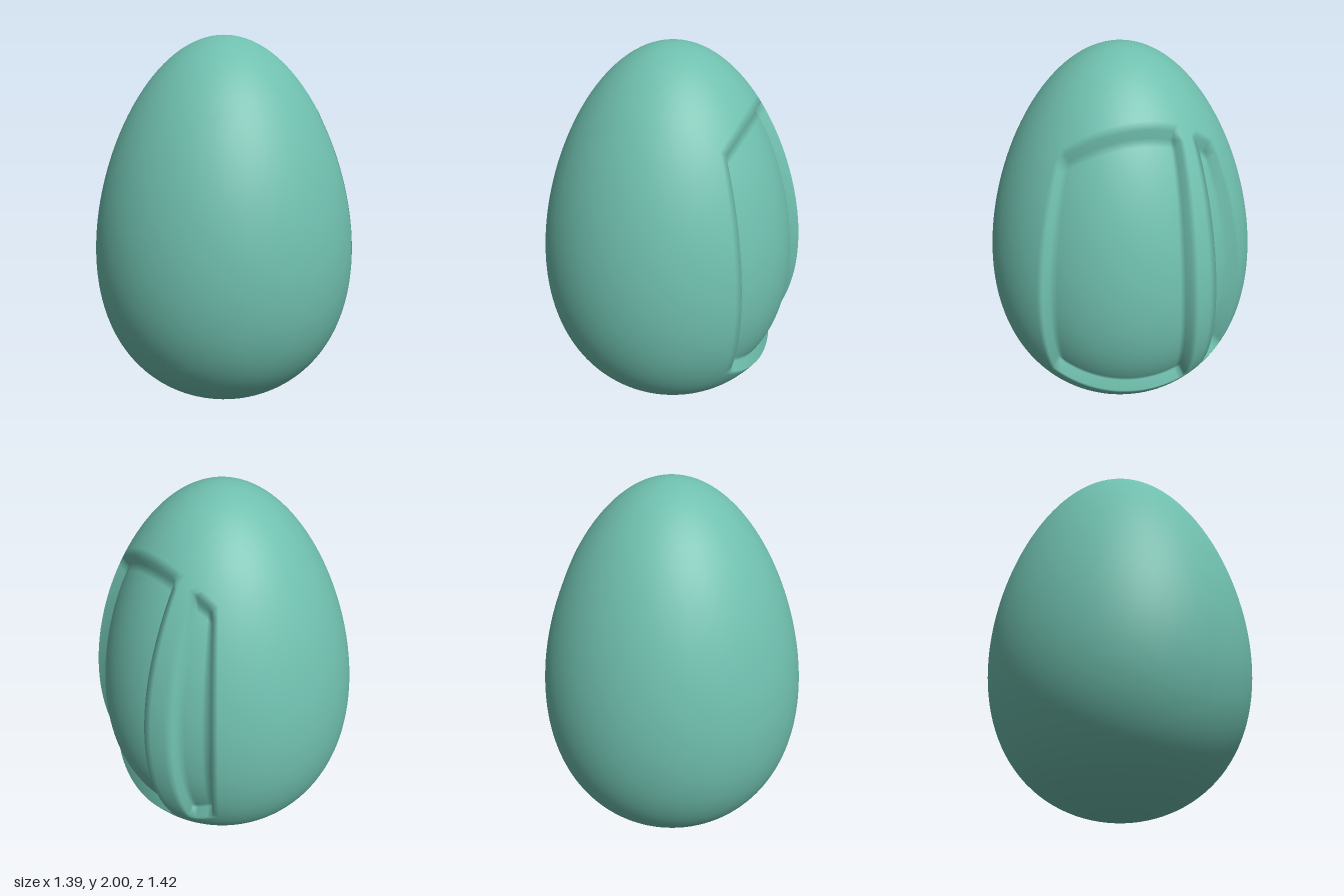
import * as THREE from 'three';
import { mergeVertices } from 'three/addons/utils/BufferGeometryUtils.js';

const N = 32;                                  // cells along each patch side
const SHIFT = 0.015;                           // centres the finished body on x
const CENTRE = new THREE.Vector3(0, 0.85, 0);  // recess sinks towards this point
const DEPTH = 0.055;

// Turn a direction on the unit sphere into a point on the egg
function eggPoint(dir, sunk) {
  const s = dir.y;
  const r = 0.697 * (1 - 0.18 * s) * (1 + 0.04 * s * s);
  const p = new THREE.Vector3(dir.x * r, 1 + s, dir.z * r);
  if (sunk) p.addScaledVector(p.clone().sub(CENTRE).normalize(), -DEPTH);
  p.x += SHIFT;
  return p;
}

// Grid lines of a patch; a line given twice (raised and sunk) makes a wall
function gridLines(walls = []) {
  const lines = [];
  let sunk = false;
  for (let i = 0; i <= N; i++) {
    const t = -1 + (2 * i) / N;
    lines.push({ t, sunk });
    if (walls.includes(i)) {
      sunk = !sunk;
      lines.push({ t, sunk });
    }
  }
  return lines;
}

// One of six patches; axis is the outward direction (0 x, 1 y, 2 z)
function addPatch(out, axis, sign, rows, cols, windowed) {
  const grid = rows.map((a) => cols.map((b) => {
    // the divider narrows slightly towards the middle of the window
    const bend = windowed ? 0.5 * (1 - a.t * a.t) * b.t * (1 - Math.abs(b.t)) : 0;
    const c = [0, 0, 0];
    c[axis] = sign;
    c[(axis + 1) % 3] = Math.tan((a.t * Math.PI) / 4);
    c[(axis + 2) % 3] = Math.tan(((b.t - bend) * Math.PI) / 4);
    return eggPoint(new THREE.Vector3(...c).normalize(), a.sunk && b.sunk);
  }));
  const tri = (p, q, r) => {
    if (p.distanceTo(q) < 1e-5 || q.distanceTo(r) < 1e-5 || r.distanceTo(p) < 1e-5) return;
    for (const v of sign > 0 ? [p, q, r] : [p, r, q]) out.push(v.x, v.y, v.z);
  };
  for (let i = 0; i < rows.length - 1; i++) {
    for (let j = 0; j < cols.length - 1; j++) {
      const p = grid[i][j], q = grid[i + 1][j], r = grid[i + 1][j + 1], s = grid[i][j + 1];
      tri(p, q, r);
      tri(p, r, s);
    }
  }
}

export function createModel() {
  const group = new THREE.Group();
  group.name = 'egg';

  const positions = [];
  const plain = gridLines();
  for (let axis = 0; axis < 3; axis++) {
    for (const sign of [1, -1]) {
      if (axis === 0 && sign === 1) continue;
      addPatch(positions, axis, sign, plain, plain, false);
    }
  }
  // recessed window: walls all round, and a full-height divider off to the back
  addPatch(positions, 0, 1, gridLines([0, N]), gridLines([0, 4, 8, N]), true);

  let geometry = new THREE.BufferGeometry();
  geometry.setAttribute('position', new THREE.Float32BufferAttribute(positions, 3));
  geometry = mergeVertices(geometry, 1e-4);
  geometry.computeVertexNormals();

  const shell = new THREE.Mesh(geometry, new THREE.MeshStandardMaterial({ color: 0x6fbfae }));
  shell.name = 'shellWithRecessedWindow';
  group.add(shell);
  return group;
}
